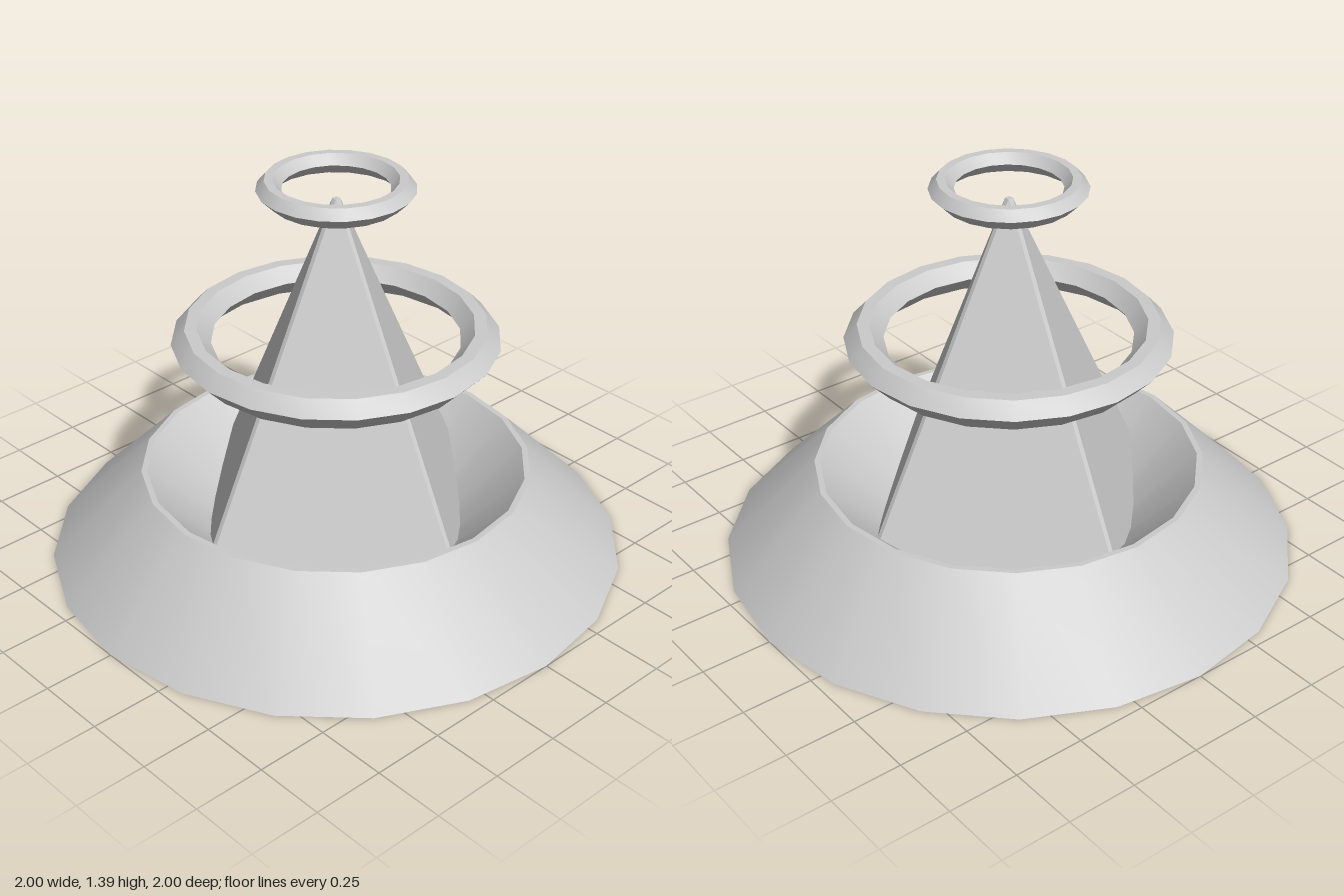
import * as THREE from 'three';
import { toCreasedNormals } from 'three/addons/utils/BufferGeometryUtils.js';
import { ConvexGeometry } from 'three/addons/geometries/ConvexGeometry.js';

const SIDES = 20;
const material = new THREE.MeshStandardMaterial({ color: 0xcccccc });
const shellMaterial = new THREE.MeshStandardMaterial({ color: 0xcccccc, side: THREE.DoubleSide });

// Turned part: [radius, height] profile, smooth around and creased along its edges
function turned(name, profile, mat) {
  const points = profile.map(([r, y]) => new THREE.Vector2(r, y));
  const geometry = toCreasedNormals(new THREE.LatheGeometry(points, SIDES), 0.5);
  const mesh = new THREE.Mesh(geometry, mat);
  mesh.name = name;
  return mesh;
}

// Floating ring with a gem-shaped section: flat top, wide girdle, pointed underside
function gemRing(name, radius, halfWidth, halfTop, bottom, girdle, top) {
  return turned(name, [
    [radius, bottom],
    [radius + halfWidth, girdle],
    [radius + halfTop, top],
    [radius - halfTop, top],
    [radius - halfWidth, girdle],
    [radius, bottom],
  ], material);
}

// Four-sided spire with corners on the axes and narrow bevels along its edges
function spire() {
  const bevel = 0.008;
  const points = [];
  for (const [y, r] of [[0.1, 0.614], [1.32, 0.01]]) {
    for (let k = 0; k < 4; k++) {
      for (const side of [-bevel, bevel]) {
        points.push(new THREE.Vector3(r, y, side).applyAxisAngle(new THREE.Vector3(0, 1, 0), k * Math.PI / 2));
      }
    }
  }
  const mesh = new THREE.Mesh(new ConvexGeometry(points), material);
  mesh.name = 'spire';
  return mesh;
}

export function createModel() {
  const group = new THREE.Group();
  group.name = 'ringedSpire';

  // Crater-like base: outer slope, thin rim, inner funnel, open beneath
  group.add(turned('craterBase', [[1, 0], [0.677, 0.325], [0.657, 0.325], [0.33, 0]], shellMaterial));

  group.add(spire());
  group.add(gemRing('middleRing', 0.488, 0.067, 0.021, 0.745, 0.815, 0.865));
  group.add(gemRing('topRing', 0.22, 0.042, 0.014, 1.315, 1.357, 1.39));

  return group;
}
